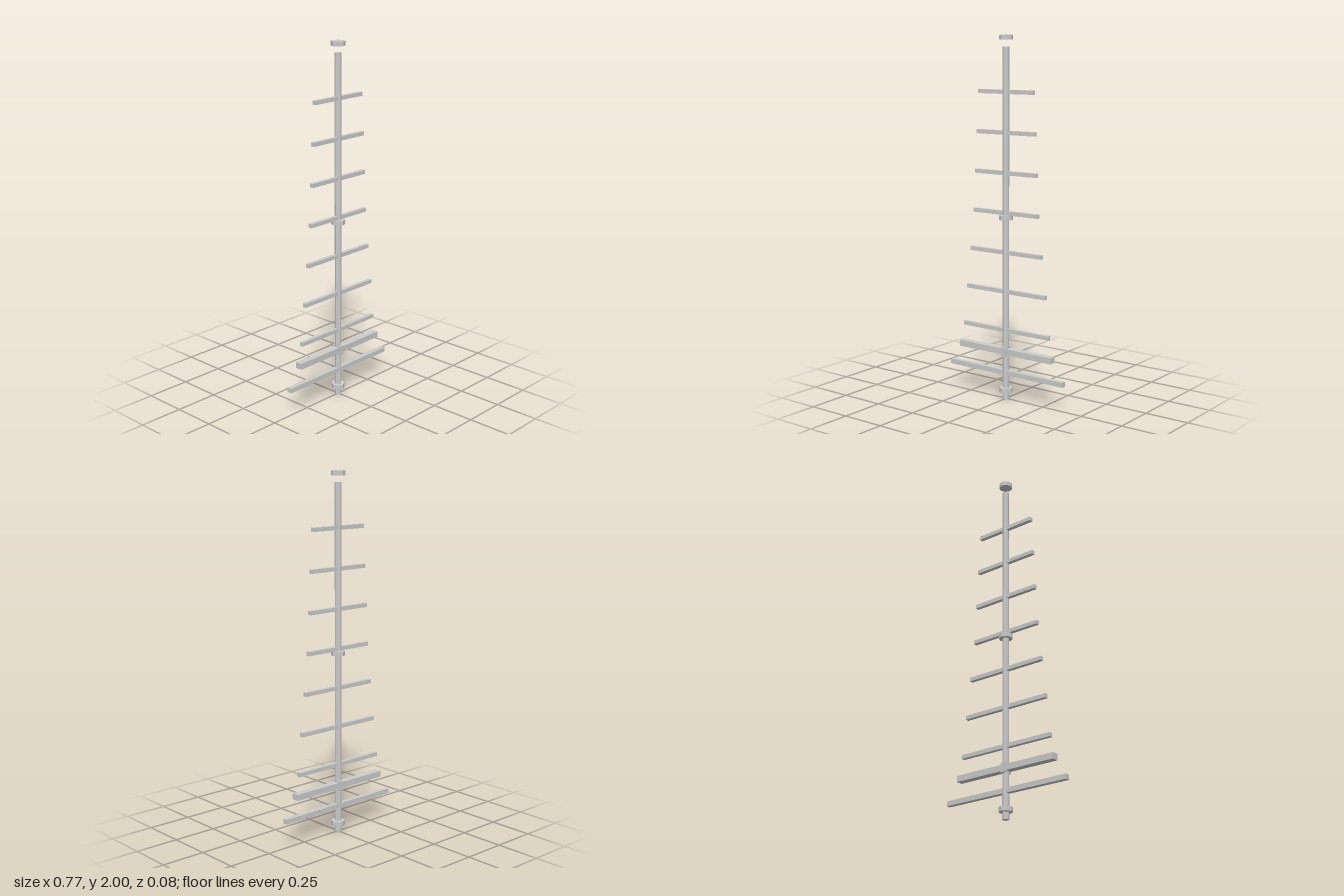
import * as THREE from 'three';

export function createModel() {
  const model = new THREE.Group();
  const material = new THREE.MeshStandardMaterial({ color: 0xcccccc, flatShading: true });

  const add = (name, geometry, y) => {
    const mesh = new THREE.Mesh(geometry, material);
    mesh.name = name;
    mesh.position.y = y;
    model.add(mesh);
  };

  // Octagonal mast
  add('mast', new THREE.CylinderGeometry(0.018, 0.018, 1.94, 8), 0.97);

  // Collars at the foot and middle, and a cap floating just above the mast
  const collar = new THREE.CylinderGeometry(0.038, 0.038, 0.025, 8);
  add('lowerCollar', collar, 0.052);
  add('middleCollar', collar, 1.022);
  add('topCap', collar, 1.9875);

  // Evenly spaced thin crossbars, shorter towards the top
  [0.29, 0.266, 0.24, 0.216, 0.204, 0.193, 0.181].forEach((half, i) => {
    add(`crossbar${i + 1}`, new THREE.BoxGeometry(half * 2, 0.022, 0.022), 0.392 + i * 0.218);
  });

  // Heavy lower bars and the clamp on the mast
  add('longBar', new THREE.BoxGeometry(0.772, 0.027, 0.027), 0.151);
  add('thickBar', new THREE.BoxGeometry(0.627, 0.034, 0.04), 0.272);
  add('clamp', new THREE.BoxGeometry(0.028, 0.052, 0.056), 0.272);

  return model;
}
